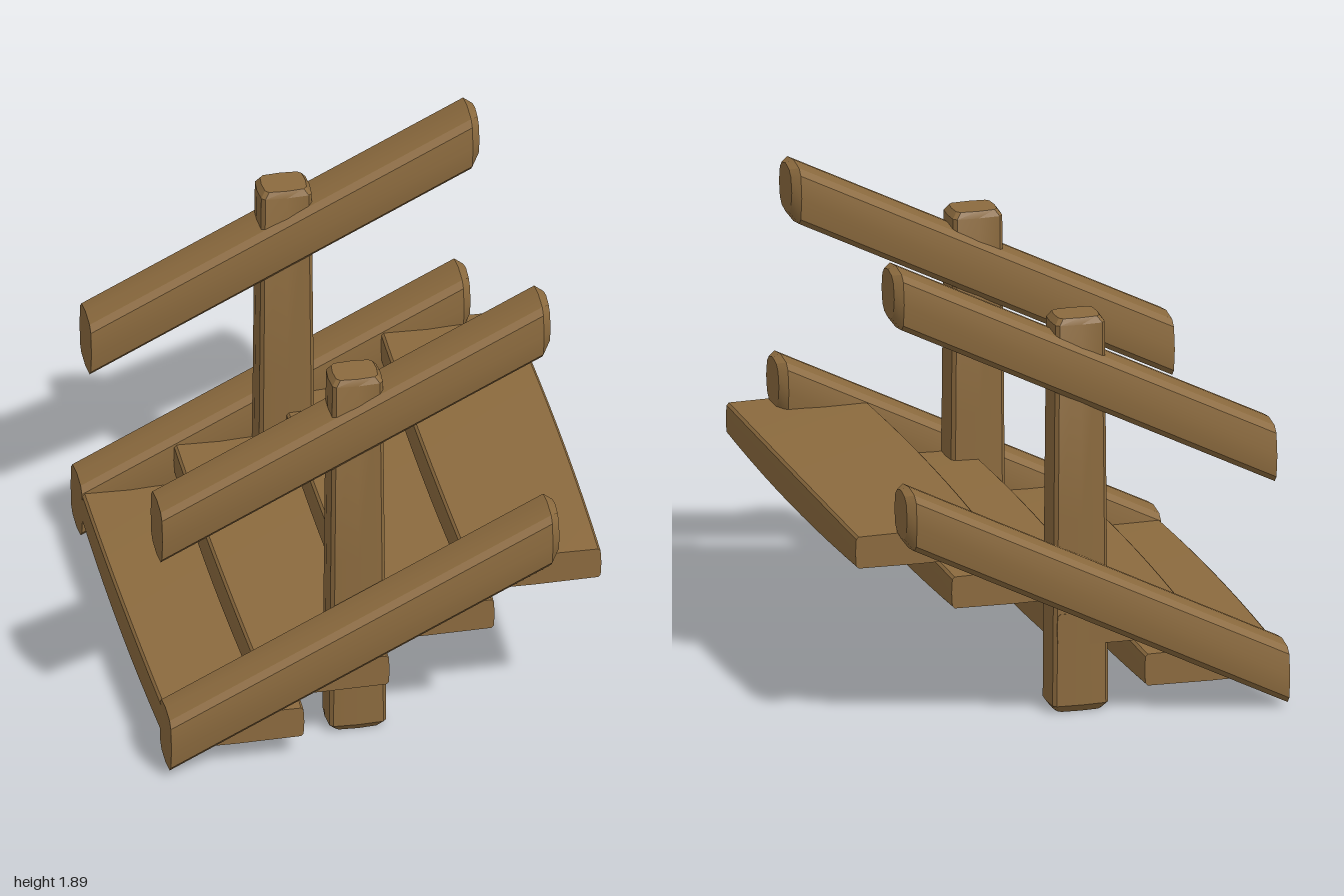
import * as THREE from 'three';
import { toCreasedNormals } from 'three/addons/utils/BufferGeometryUtils.js';

const wood = new THREE.MeshStandardMaterial({ color: 0x8b6a3e });

// Bulging chamfered rectangle with half sizes w, h
function section(w, h, c, bulge) {
  const a = w - bulge, b = h - bulge;
  return [
    [w, 0], [a, b - c], [a - c, b], [0, h], [c - a, b], [-a, b - c],
    [-w, 0], [-a, c - b], [c - a, -b], [0, -h], [a - c, -b], [a, c - b],
  ];
}

// Loft through stations [s, halfU, halfV]; map(u, v, s) places each point
function timber(name, stations, chamfer, bulge, map) {
  const pos = [], idx = [], n = 12;
  stations.forEach(([s, w, h]) => {
    for (const [u, v] of section(w, h, chamfer, bulge)) pos.push(...map(u, v, s));
  });
  for (let k = 0; k < stations.length - 1; k++) {
    for (let i = 0; i < n; i++) {
      const a = k * n + i, b = k * n + (i + 1) % n;
      idx.push(a, b, b + n, a, b + n, a + n);
    }
  }
  // End caps
  const last = (stations.length - 1) * n;
  for (let i = 1; i < n - 1; i++) {
    idx.push(0, i + 1, i, last, last + i, last + i + 1);
  }
  const geo = new THREE.BufferGeometry();
  geo.setAttribute('position', new THREE.Float32BufferAttribute(pos, 3));
  geo.setIndex(idx);
  const mesh = new THREE.Mesh(toCreasedNormals(geo, 0.5), wood);
  mesh.name = name;
  return mesh;
}

// Sloping beam with vertical ends; y0 is its centre height at x = 0
function slopedBeam(name, y0, z) {
  return timber(name,
    [[-0.87, 0.127, 0.118], [-0.1, 0.127, 0.118], [0.66, 0.127, 0.118], [0.692, 0.1, 0.088]],
    0.025, 0.012, (u, v, s) => [s, y0 + 0.5 * s + u, z + v]);
}

// Upright post, slightly tapered
function post(name, z) {
  return timber(name,
    [[0, 0.065, 0.095], [0.03, 0.087, 0.119], [0.8, 0.086, 0.113], [1.6, 0.083, 0.106], [1.625, 0.07, 0.088]],
    0.014, 0.005, (u, v, s) => [-0.077 + v, s, z + u]);
}

// Plank running along z, thickest in the middle
function tread(name, x, y, zBack, zFront, halfX) {
  const stations = [];
  for (let i = 0; i <= 10; i++) {
    const t = i / 10, swell = 1 - (2 * t - 1) ** 2;
    stations.push([THREE.MathUtils.lerp(zBack, zFront, t),
      halfX - 0.012 + 0.012 * swell, 0.068 + 0.012 * swell]);
  }
  return timber(name, stations, 0.01, 0.003, (u, v, s) => [x + u, y + v, s]);
}

export function createModel() {
  const group = new THREE.Group();
  group.name = 'woodenStairs';

  // Posts, handrails and stringers on both sides
  for (const [side, m] of [['front', 1], ['back', -1]]) {
    group.add(
      post(side + 'Post', m * 0.705),
      slopedBeam(side + 'Handrail', 1.43, m * 0.705),
      slopedBeam(side + 'Stringer', 0.572, m * 0.882),
    );
  }

  // Steps: x, y, back z, front z, half depth
  [
    [-0.597, 0.163, -0.83, 0.935, 0.285],
    [-0.24, 0.345, -0.79, 0.91, 0.275],
    [0.185, 0.535, -0.77, 0.88, 0.277],
    [0.597, 0.76, -0.84, 0.945, 0.28],
  ].forEach((p, i) => group.add(tread('step' + (i + 1), ...p)));

  return group;
}
